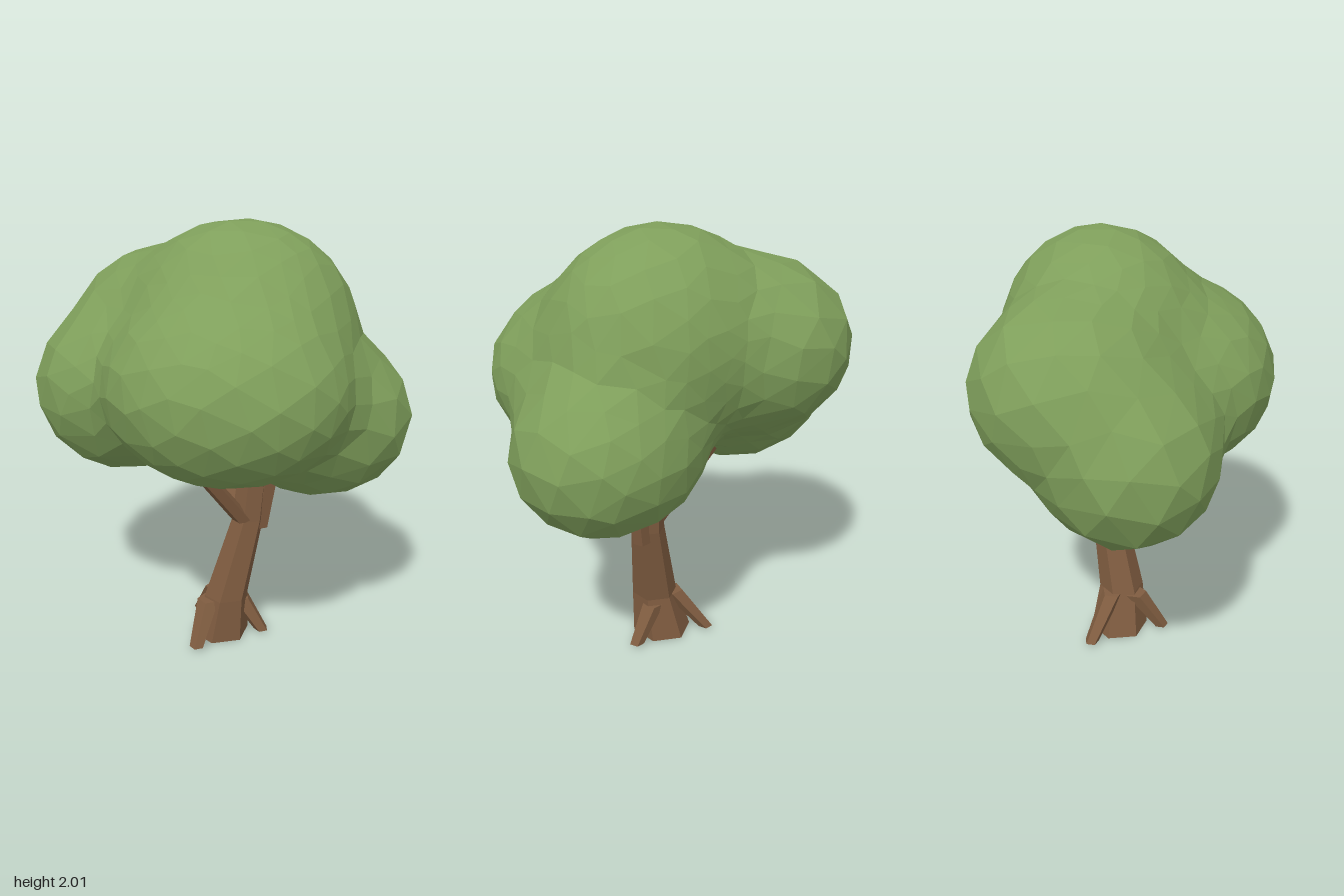
import * as THREE from 'three';

const bark = new THREE.MeshStandardMaterial({ color: 0x7f5c40, flatShading: true });
const leaves = new THREE.MeshStandardMaterial({ color: 0x7f9f5b, flatShading: true });

// Leaf lobes: centre and radii of each ellipsoid
const lobes = [
  { c: [0.1, 1.53, -0.09], r: [0.51, 0.475, 0.44] },   // crown
  { c: [-0.45, 1.22, -0.05], r: [0.42, 0.385, 0.38] }, // right side
  { c: [0.13, 1.34, 0.25], r: [0.53, 0.4, 0.435] },    // front
  { c: [0.44, 1.14, -0.16], r: [0.43, 0.37, 0.37] },   // left side
  { c: [-0.33, 1.46, -0.27], r: [0.41, 0.38, 0.41] },  // back
];

// Soft union of the lobes: negative inside, positive outside
function canopyField(p) {
  const k = 0.05;
  let sum = 0;
  for (const { c, r } of lobes) {
    const q = Math.hypot((p.x - c[0]) / r[0], (p.y - c[1]) / r[1], (p.z - c[2]) / r[2]);
    sum += Math.exp((1 - q) * 0.42 / k);
  }
  return -k * Math.log(sum) - 0.005;
}

// Faceted canopy: an icosphere whose vertices are moved onto the lobes
function makeCanopy() {
  const geo = new THREE.IcosahedronGeometry(1, 5);
  const pos = geo.attributes.position;
  const centre = new THREE.Vector3(0.05, 1.3, -0.06);
  const dir = new THREE.Vector3();
  const p = new THREE.Vector3();
  const outside = (t) => canopyField(p.copy(centre).addScaledVector(dir, t)) > 0;
  for (let i = 0; i < pos.count; i++) {
    dir.fromBufferAttribute(pos, i);
    // Irregular facets
    const { x, y, z } = dir;
    dir.x += 0.035 * Math.sin(13 * y + 9 * z);
    dir.y += 0.035 * Math.sin(12 * z + 10 * x);
    dir.z += 0.035 * Math.sin(14 * x + 8 * y);
    dir.normalize();
    // March inwards to the outer surface, then refine
    let lo = 1.2;
    while (lo > 0.1 && outside(lo)) lo -= 0.02;
    let hi = lo + 0.02;
    for (let s = 0; s < 8; s++) {
      const mid = (lo + hi) / 2;
      if (outside(mid)) hi = mid;
      else lo = mid;
    }
    p.copy(centre).addScaledVector(dir, lo);
    pos.setXYZ(i, p.x, p.y, p.z);
  }
  geo.computeVertexNormals();
  const mesh = new THREE.Mesh(geo, leaves);
  mesh.name = 'canopy';
  return mesh;
}

// Wooden limb lofted through level rings [x, y, z, radius], listed from bottom to top
function makeLimb(name, sides, rings) {
  const n = rings.length - 1;
  const geo = new THREE.CylinderGeometry(1, 1, 1, sides, n);
  const pos = geo.attributes.position;
  for (let i = 0; i < pos.count; i++) {
    const [x, y, z, r] = rings[Math.round((pos.getY(i) + 0.5) * n)];
    pos.setXYZ(i, x + pos.getX(i) * r, y, z + pos.getZ(i) * r);
  }
  geo.computeVertexNormals();
  const mesh = new THREE.Mesh(geo, bark);
  mesh.name = name;
  return mesh;
}

export function createModel() {
  const tree = new THREE.Group();
  tree.name = 'tree';
  tree.add(makeCanopy());

  // Bent trunk
  tree.add(makeLimb('trunk', 6, [
    [0.025, 0, -0.03, 0.14],
    [0.06, 0.22, -0.015, 0.107],
    [0.15, 0.62, -0.07, 0.078],
    [0.19, 1.1, -0.1, 0.07],
  ]));

  // Branches
  tree.add(
    makeLimb('backBranch', 5, [[0.135, 0.62, -0.07, 0.045], [-0.18, 1.03, -0.18, 0.045]]),
    makeLimb('frontBranch', 5, [[0.135, 0.62, -0.03, 0.05], [-0.08, 1.05, 0.24, 0.045]]),
    makeLimb('leftBranch', 5, [[0.205, 0.57, -0.09, 0.04], [0.26, 1.0, -0.1, 0.055]]),
  );

  // Roots
  tree.add(
    makeLimb('frontRoot', 5, [[-0.03, 0.015, 0.175, 0.035], [-0.01, 0.21, 0.045, 0.055]]),
    makeLimb('leftRoot', 5, [[0.225, 0.015, -0.07, 0.035], [0.11, 0.19, -0.06, 0.055]]),
    makeLimb('backRoot', 5, [[-0.125, 0.015, -0.185, 0.035], [-0.005, 0.22, -0.065, 0.055]]),
  );
  return tree;
}
